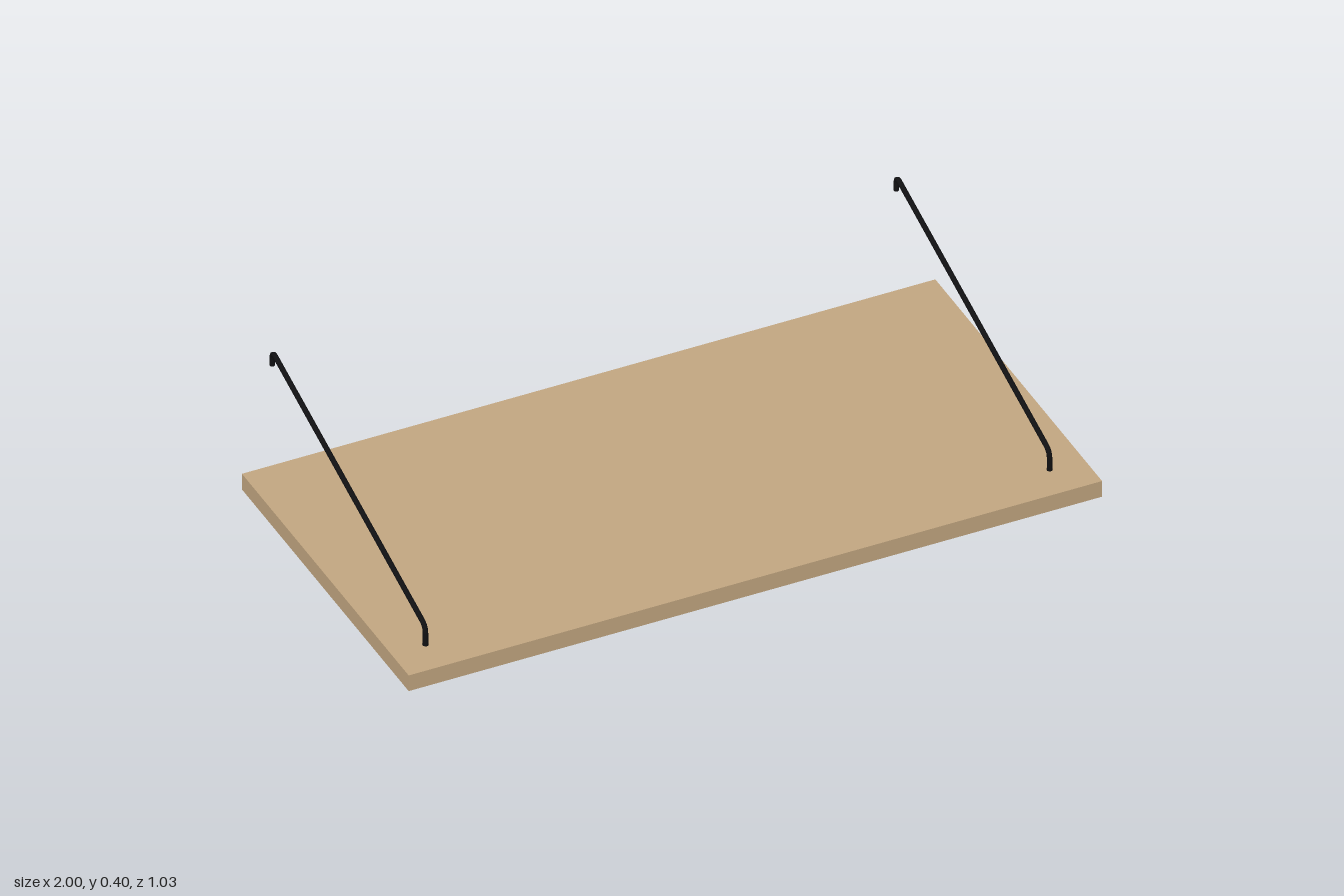
import * as THREE from 'three';

const wood = new THREE.MeshStandardMaterial({ color: 0xc4a882 });
wood.name = 'wood';
const blackMetal = new THREE.MeshStandardMaterial({ color: 0x101012 });
blackMetal.name = 'black metal';

const BOTTOM = 0.005, TOP = 0.055, GROOVE = 0.025;
const BACK = -0.482, FRONT = 0.517;
const ROD_X = 0.9, ROD_Z = 0.41;

// Bent rod through [y, z] corners in the plane x = 0, each bend rounded off
function bentRod(name, corners, bend, radius, segments, material) {
  const pts = corners.map(([y, z]) => new THREE.Vector3(0, y, z));
  const path = new THREE.CurvePath();
  let from = pts[0];
  for (let i = 1; i < pts.length - 1; i++) {
    const toward = (p) => pts[i].clone().add(p.clone().sub(pts[i]).setLength(bend));
    const a = toward(pts[i - 1]), b = toward(pts[i + 1]);
    path.add(new THREE.LineCurve3(from, a));
    path.add(new THREE.QuadraticBezierCurve3(a, pts[i], b));
    from = b;
  }
  path.add(new THREE.LineCurve3(from, pts[pts.length - 1]));

  const rod = new THREE.Group();
  rod.name = name;
  const tube = new THREE.Mesh(new THREE.TubeGeometry(path, segments, radius, 12), material);
  tube.name = name + 'Bar';
  rod.add(tube);
  // flat ends
  for (const t of [0, 1]) {
    const cap = new THREE.Mesh(new THREE.CircleGeometry(radius, 12), material);
    cap.name = name + 'End';
    const out = path.getTangentAt(t).multiplyScalar(t ? 1 : -1);
    cap.position.copy(path.getPointAt(t));
    cap.quaternion.setFromUnitVectors(new THREE.Vector3(0, 0, 1), out);
    rod.add(cap);
  }
  return rod;
}

// Horizontal slab of the board between two heights, with holes cut through it
function slab(name, y0, y1, holes) {
  const shape = new THREE.Shape();
  shape.moveTo(-1, -FRONT).lineTo(1, -FRONT).lineTo(1, -BACK).lineTo(-1, -BACK).closePath();
  shape.holes.push(...holes);
  const geo = new THREE.ExtrudeGeometry(shape, { depth: y1 - y0, bevelEnabled: false, curveSegments: 16 });
  geo.rotateX(-Math.PI / 2);
  geo.translate(0, y0, 0);
  const mesh = new THREE.Mesh(geo, wood);
  mesh.name = name;
  return mesh;
}

// Round-ended slot along z
function slot(x, zFront, zBack, r) {
  const p = new THREE.Path();
  p.absarc(x, -zFront, r, 0, -Math.PI, true);
  p.absarc(x, -zBack, r, Math.PI, 0, true);
  p.closePath();
  return p;
}

export function createModel() {
  const model = new THREE.Group();
  model.name = 'foldDownShelf';

  // Board: upper layer with rod holes, lower layer with grooves for the rod feet
  const board = new THREE.Group();
  board.name = 'board';
  const sides = [-ROD_X, ROD_X];
  board.add(slab('boardTop', GROOVE, TOP, sides.map((x) => slot(x, ROD_Z + 0.001, ROD_Z - 0.001, 0.009))));
  board.add(slab('boardUnderside', BOTTOM, GROOVE, sides.map((x) => slot(x, ROD_Z, 0.335, 0.009))));
  model.add(board);

  // Support rods: foot in the groove, up through the board, sloping back to a hook
  for (const x of sides) {
    const rod = bentRod('supportRod', [
      [0.0135, 0.335], [0.0135, ROD_Z], [0.112, ROD_Z], [0.4, -0.508], [0.355, -0.508],
    ], 0.022, 0.0072, 160, blackMetal);
    rod.position.x = x;
    model.add(rod);
  }

  // Small hooks along the back edge
  for (const x of [-0.647, -0.03, 0.64]) {
    const hook = bentRod('backHook', [[0.027, -0.46], [0.027, -0.509], [0, -0.509]], 0.018, 0.006, 32, wood);
    hook.position.x = x;
    model.add(hook);
  }
  return model;
}
